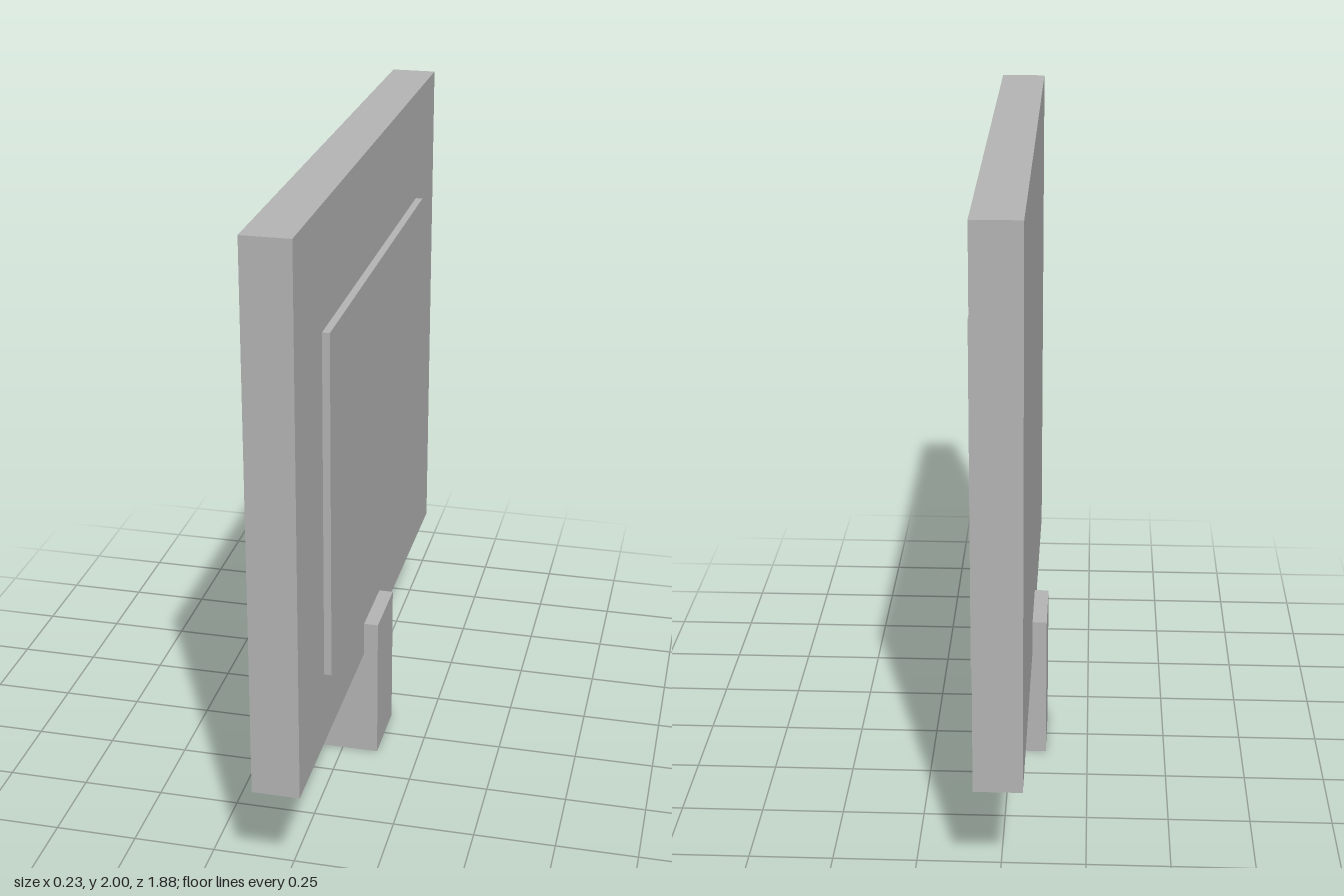
import * as THREE from 'three';

export function createModel() {
  const group = new THREE.Group();
  const grey = new THREE.MeshStandardMaterial({ color: 0xb4b4b4 });
  grey.name = 'light grey';

  // Box given by its x, y and z limits
  const addBox = (name, [x0, x1], [y0, y1], [z0, z1]) => {
    const mesh = new THREE.Mesh(new THREE.BoxGeometry(x1 - x0, y1 - y0, z1 - z0), grey);
    mesh.position.set((x0 + x1) / 2, (y0 + y1) / 2, (z0 + z1) / 2);
    mesh.name = name;
    group.add(mesh);
  };

  // Square post whose top clasps the lower edge of the board
  addBox('post', [-0.115, 0.115], [0, 0.47], [-0.115, 0.115]);
  // Upright board
  addBox('board', [-0.07, 0.07], [0.36, 2], [-0.94, 0.94]);
  // Raised plate on one face of the board
  addBox('raisedPlate', [0.06, 0.092], [0.592, 1.648], [-0.645, 0.645]);

  return group;
}
